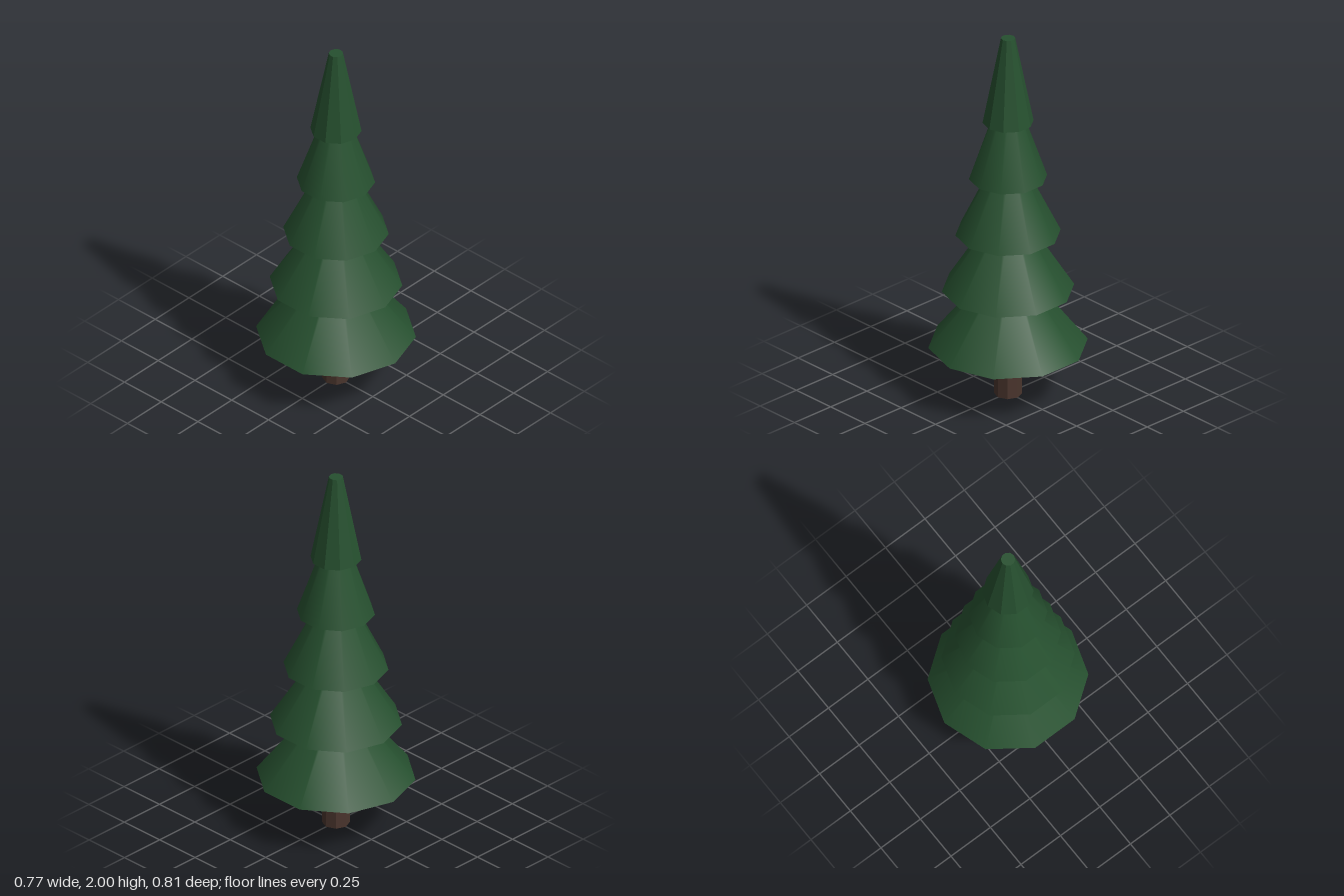
import * as THREE from 'three';

const green = new THREE.MeshStandardMaterial({ color: 0x26502f });
green.name = 'pine green';
const topGreen = green.clone(); // same colour, faceted shading for the steep tip
topGreen.name = 'pine green faceted';
topGreen.flatShading = true;
const brown = new THREE.MeshStandardMaterial({ color: 0x4a352d, flatShading: true });
brown.name = 'bark brown';

export function createModel() {
  const tree = new THREE.Group();
  tree.name = 'pineTree';

  // Eight-sided trunk, reaching up into the lowest tier
  const trunkHeight = 0.36;
  const trunk = new THREE.Mesh(new THREE.CylinderGeometry(0.07, 0.07, trunkHeight, 8), brown);
  trunk.name = 'trunk';
  trunk.position.y = trunkHeight / 2;
  tree.add(trunk);

  // Five overlapping ten-sided tiers, evenly spaced and shrinking upwards
  const tiers = 5, height = 0.47, topRadius = 0.036;
  for (let i = 0; i < tiers; i++) {
    const radius = 0.403 - i * 0.0685;
    const geometry = new THREE.CylinderGeometry(topRadius, radius, height, 10);
    const tier = new THREE.Mesh(geometry, i === tiers - 1 ? topGreen : green);
    tier.name = `foliageTier${i + 1}`;
    tier.position.y = 0.28 + i * 0.3125 + height / 2;
    tree.add(tier);
  }
  return tree;
}
